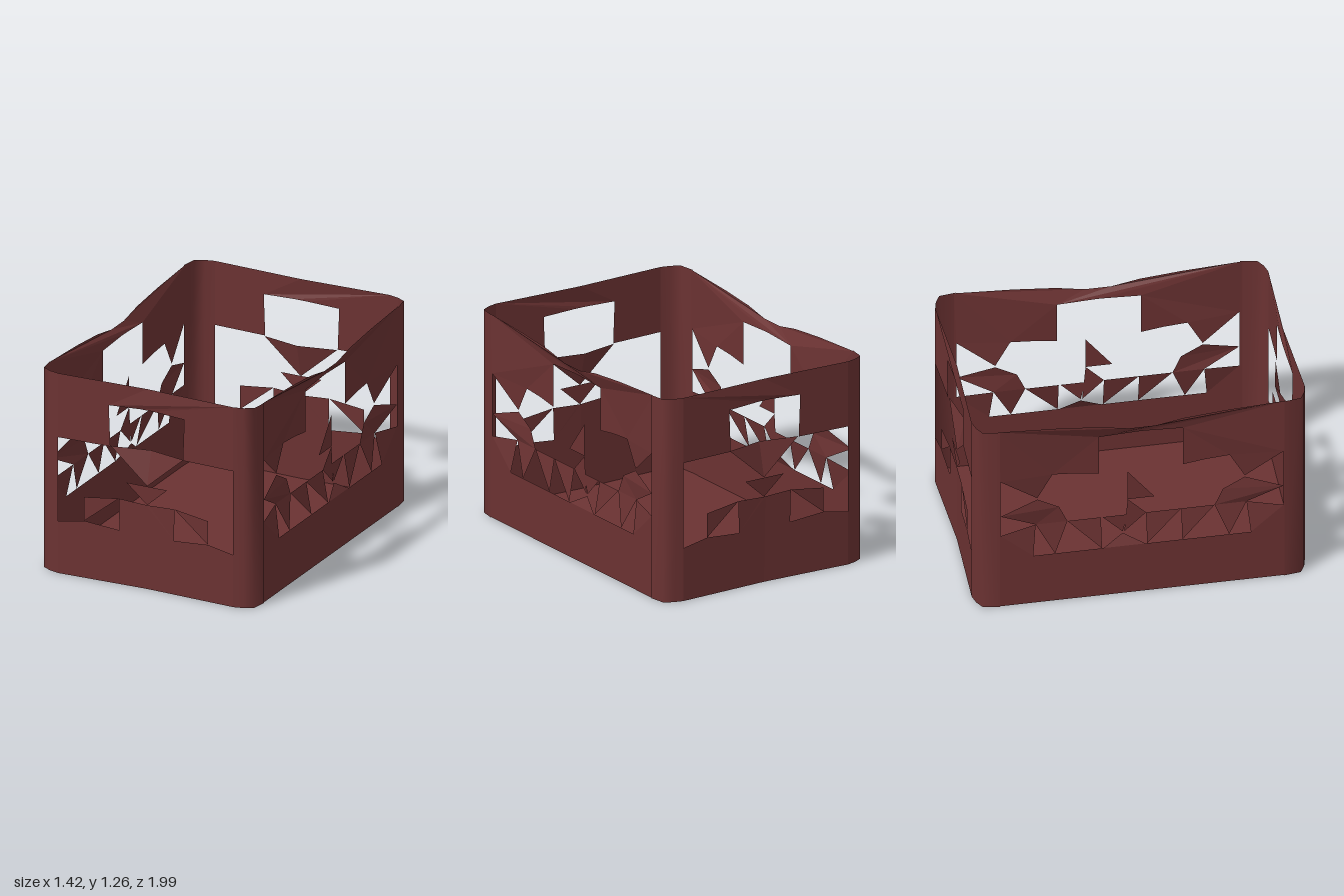
import * as THREE from 'three';

const brown = new THREE.MeshStandardMaterial({ color: 0x6b3232, side: THREE.DoubleSide });
brown.name = 'reddish brown';

const toPath = (pts, C) => new C(pts.map(([u, v]) => new THREE.Vector2(u, v)));

// Flat sheet from an outline and holes, its corners then placed by a rule
function sheet(name, outline, holes, place) {
  const shape = toPath(outline, THREE.Shape);
  shape.holes = holes.map((h) => toPath(h, THREE.Path));
  const geo = new THREE.ShapeGeometry(shape).toNonIndexed();
  const p = geo.attributes.position;
  for (let i = 0; i < p.count; i++) p.setXYZ(i, ...place(p.getX(i), p.getY(i)));
  geo.computeVertexNormals();
  const mesh = new THREE.Mesh(geo, brown);
  mesh.name = name;
  return mesh;
}

const flip = (pts) => pts.map(([u, v]) => [-u, v]);
const both = (half) => [...half, ...flip(half).reverse()];

function endWall() {
  const wall = new THREE.Group();
  const place = (x, y) => [x, y, 0.975 + 0.02 * Math.abs(x) / 0.58];
  // Lower panel with a raised middle
  wall.add(sheet('lowerEndPanel',
    both([[0, 0], [0.58, 0], [0.58, 0.33], [0.41, 0.36], [0.18, 0.34], [0.185, 0.54], [0.01, 0.53]]), [], place));
  // Upper panel with the hand hole open below
  wall.add(sheet('upperEndPanel',
    both([[0, 1.265], [0.58, 1.265], [0.58, 0.86], [0.24, 0.86], [0.25, 1.12], [0.04, 1.13]]), [], place));
  // Broken lattice pieces
  const piece = [[0.41, 0.36], [0.41, 0.51], [0.185, 0.54]];
  for (const pts of [piece, flip(piece), [[-0.135, 0.65], [0.135, 0.65], [0, 0.53]]]) {
    wall.add(sheet('endLatticePiece', pts, [], place));
  }
  // Notched triangle under the hand hole, folded inward
  const fold = (x, y) => [x, y, 0.975 - (Math.abs(x) < 0.01 && y > 0.8 ? 0.05 : 0)];
  for (const s of [1, -1]) {
    wall.add(sheet('handHoleTriangle', [[0, 0.86], [s * 0.24, 0.86], [0, 0.65]], [], fold));
  }
  return wall;
}

function sideWall() {
  const wall = new THREE.Group();
  // The wall sinks inward around the opening
  const place = (z, y) => [y > 0.4 && y < 1.15 && Math.abs(z) < 0.8 ? 0.67 : 0.705, y, z];
  const outline = both([[0, 0], [0.86, 0], [0.86, 1.265], [0.5, 1.245], [0.25, 1.222], [0.08, 1.19], [0.02, 1.19]]);
  const opening = both([[0.02, 1.135], [0.25, 1.125], [0.25, 0.86], [0.39, 0.88], [0.53, 0.89], [0.845, 0.9],
    [0.845, 0.51], [0.63, 0.54], [0.65, 0.34], [0.02, 0.34]]);
  wall.add(sheet('sidePanel', outline, [opening], place));
  // Lattice pieces repeated toward both ends
  const pieces = [
    [[0.845, 0.9], [0.53, 0.89], [0.62, 0.73]],
    [[0.845, 0.65], [0.62, 0.72], [0.49, 0.65]],
    [[0.845, 0.65], [0.49, 0.65], [0.44, 0.54], [0.63, 0.54]],
    [[0.63, 0.54], [0.44, 0.54], [0.52, 0.34]],
    [[0.44, 0.54], [0.24, 0.54], [0.24, 0.34]],
  ];
  // Pieces found once, near the middle
  const middle = [
    [[0.24, 0.54], [0.03, 0.54], [0.03, 0.34]],
    [[0.03, 0.54], [-0.08, 0.65], [-0.1, 0.42]],
    [[-0.08, 0.54], [-0.23, 0.54], [-0.11, 0.42]],
    [[0.02, 0.34], [-0.11, 0.41], [-0.23, 0.34]],
    [[0.08, 0.65], [-0.08, 0.65], [-0.08, 0.85]],
  ];
  for (const pts of [...pieces, ...pieces.map(flip), ...middle]) {
    wall.add(sheet('sideLatticePiece', pts, [], place));
  }
  return wall;
}

// Bevelled corner post, a ribbon of upright strips
function cornerPost() {
  const plan = [[0.58, 0.995], [0.64, 0.98], [0.695, 0.95], [0.71, 0.85]];
  const pos = [];
  const index = [];
  plan.forEach(([x, z], i) => {
    pos.push(x, 0, z, x, 1.265, z);
    const a = 2 * i;
    if (i) index.push(a - 2, a, a - 1, a, a + 1, a - 1);
  });
  const geo = new THREE.BufferGeometry();
  geo.setAttribute('position', new THREE.Float32BufferAttribute(pos, 3));
  geo.setIndex(index);
  geo.computeVertexNormals();
  return new THREE.Mesh(geo, brown);
}

export function createModel() {
  const crate = new THREE.Group();
  crate.name = 'crate';

  // Floor with cut corners
  const edge = both([[0, 0.975], [0.58, 0.995], [0.695, 0.95], [0.705, 0.85],
    [0.705, -0.85], [0.695, -0.95], [0.58, -0.995], [0.01, -0.975]]);
  crate.add(sheet('floor', edge, [], (x, z) => [x, 0.003, -z]));

  for (const s of [1, -1]) {
    const end = endWall();
    end.name = s > 0 ? 'frontWall' : 'backWall';
    end.scale.z = s;
    const side = sideWall();
    side.name = s > 0 ? 'leftWall' : 'rightWall';
    side.scale.x = s;
    crate.add(end, side);
    for (const t of [1, -1]) {
      const post = cornerPost();
      post.name = 'cornerPost';
      post.scale.set(s, 1, t);
      crate.add(post);
    }
  }
  return crate;
}
